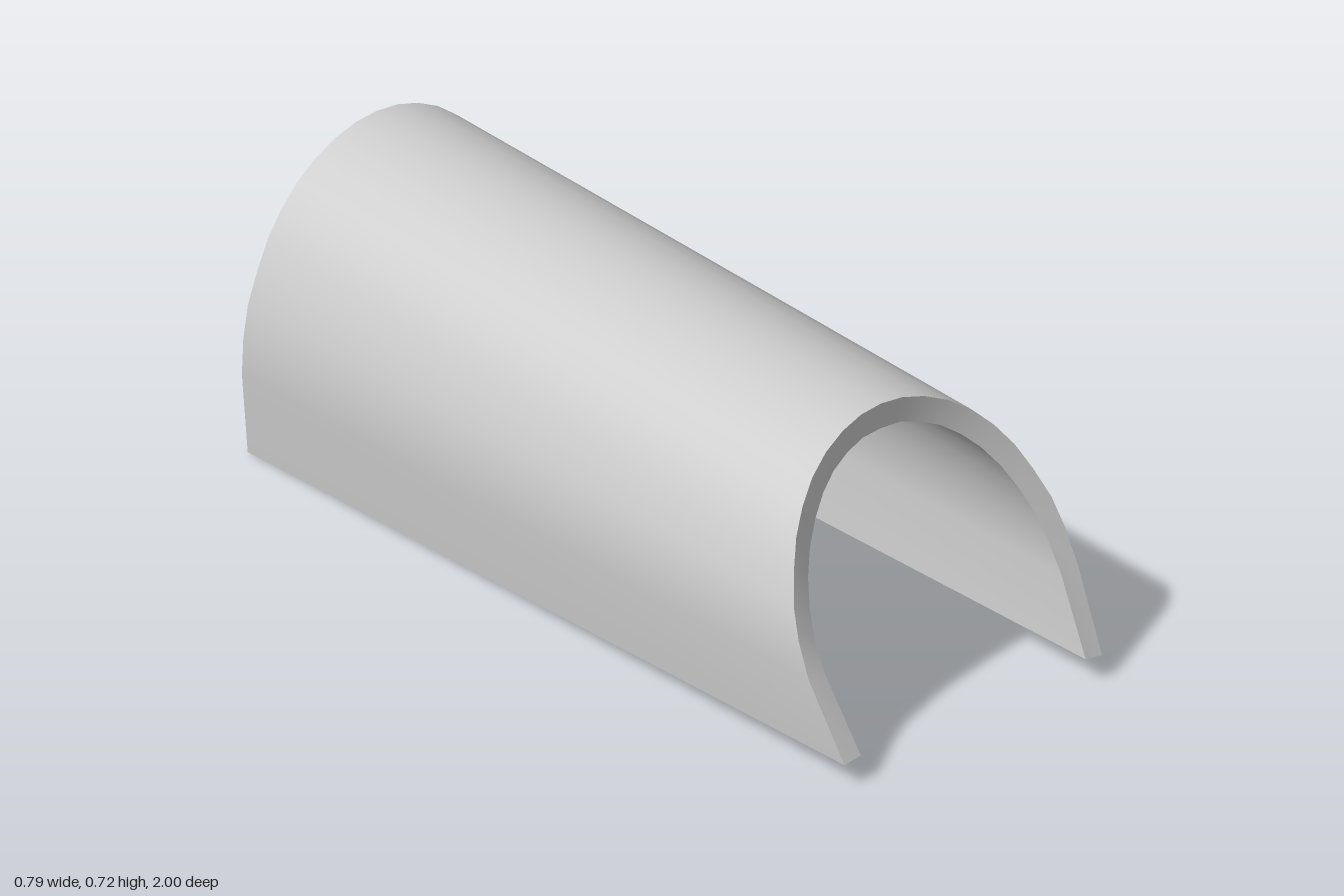
import * as THREE from 'three';
import { mergeGeometries } from 'three/addons/utils/BufferGeometryUtils.js';

// Half profiles of the front edge, crown to foot: [x, y]
const OUTER = [[0, 0.695], [0.06, 0.69], [0.12, 0.674], [0.18, 0.647], [0.234, 0.61], [0.281, 0.563],
  [0.32, 0.51], [0.35, 0.45], [0.378, 0.38], [0.391, 0.31], [0.395, 0.23], [0.378, 0.05]];
const INNER = [[0, 0.633], [0.055, 0.63], [0.106, 0.615], [0.157, 0.592], [0.202, 0.56], [0.243, 0.52],
  [0.28, 0.47], [0.309, 0.415], [0.331, 0.355], [0.343, 0.29], [0.346, 0.225], [0.33, 0.057]];

// Sloping front cut, steeper towards the crown
const cutZ = (y) => (y < 0.25 ? 1 - (y - 0.05) * 0.56 : 0.888 - (y - 0.25) * 0.445);
// The arch grows slightly taller towards the back
const backY = (y) => (y - 0.05) * 1.1225;

// Mirror a half profile into a full arch running from -x to +x
function arch(half, place) {
  const right = half.map(([x, y], i) => place(x, y, i));
  const left = right.slice(1).reverse().map((p) => new THREE.Vector3(-p.x, p.y, p.z));
  return [...left, ...right];
}

// Smooth strip of quads between two rows of points
function strip(a, b) {
  const n = a.length;
  const index = [];
  for (let i = 0; i < n - 1; i++) index.push(i, i + 1, n + i + 1, i, n + i + 1, n + i);
  const g = new THREE.BufferGeometry().setFromPoints([...a, ...b]);
  g.setIndex(index);
  g.computeVertexNormals();
  return g;
}

export function createModel() {
  const front = (x, y, i) => new THREE.Vector3(x, y, cutZ(OUTER[i][1]));
  const back = (x, y) => new THREE.Vector3(x, backY(y), -1);
  const of = arch(OUTER, front), ob = arch(OUTER, back);
  const nf = arch(INNER, front), nb = arch(INNER, back);
  const e = of.length - 1;

  const parts = {
    archedShell: [strip(of, ob), strip(nb, nf)],
    endRims: [strip(nf, of), strip(ob, nb)],
    footEdges: [strip([ob[0], nb[0]], [of[0], nf[0]]), strip([nb[e], ob[e]], [nf[e], of[e]])],
  };

  const group = new THREE.Group();
  group.name = 'archedCover';
  const material = new THREE.MeshStandardMaterial({ color: 0xcccccc });
  for (const [name, pieces] of Object.entries(parts)) {
    const mesh = new THREE.Mesh(mergeGeometries(pieces), material);
    mesh.name = name;
    group.add(mesh);
  }
  return group;
}
